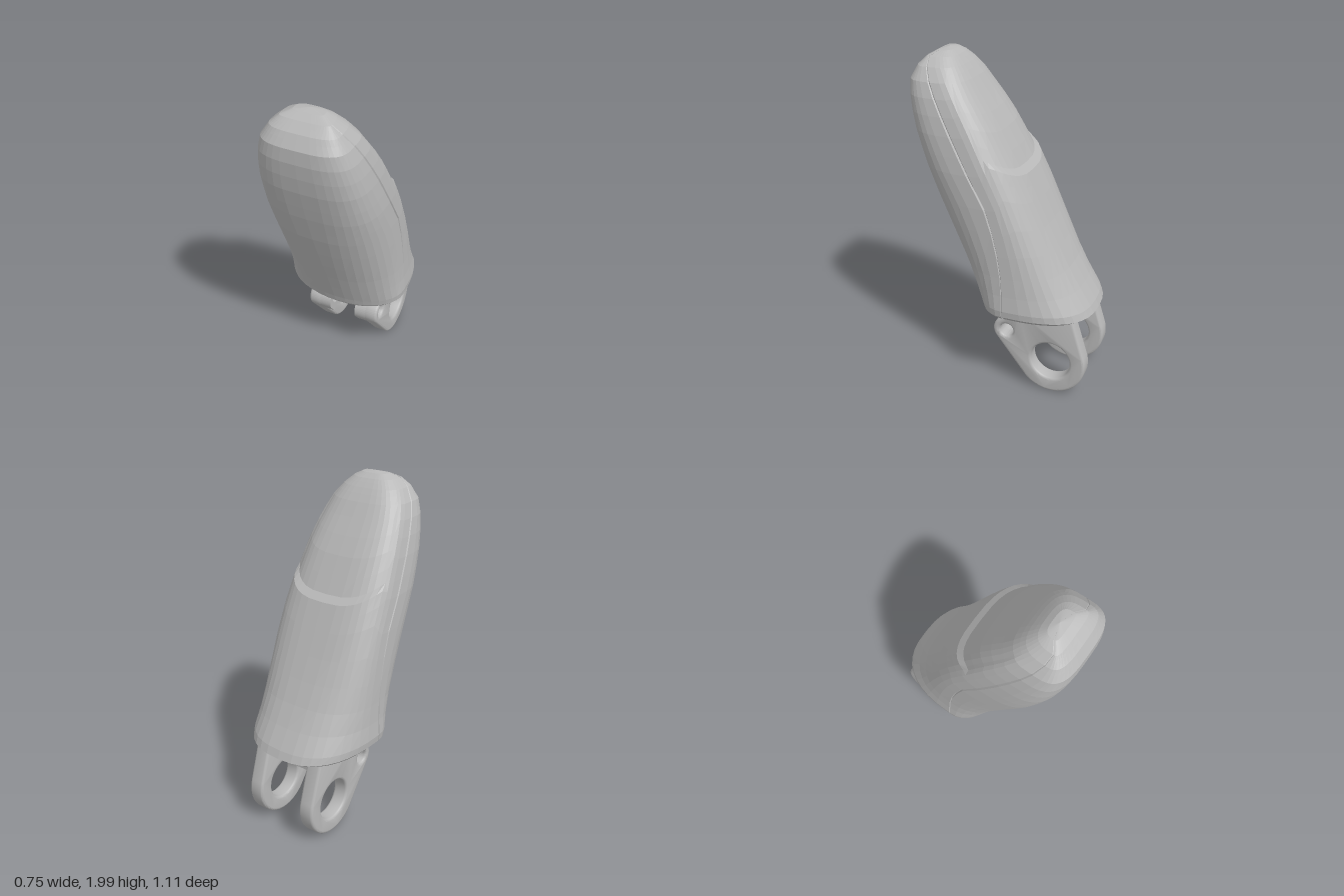
import * as THREE from 'three';
import { toCreasedNormals } from 'three/addons/utils/BufferGeometryUtils.js';

// Shell profile: height, half width, front z, seam z, back z
const PROFILE = [
  [0.50, 0.345, 0.105, -0.08, -0.52],
  [0.525, 0.368, 0.125, -0.08, -0.555],
  [0.57, 0.373, 0.14, -0.08, -0.535],
  [0.68, 0.365, 0.185, -0.077, -0.465],
  [0.80, 0.36, 0.235, -0.07, -0.395],
  [1.00, 0.355, 0.322, -0.04, -0.293],
  [1.20, 0.348, 0.402, 0.025, -0.20],
  [1.40, 0.335, 0.472, 0.14, -0.105],
  [1.60, 0.31, 0.53, 0.25, 0.008],
  [1.75, 0.28, 0.557, 0.335, 0.11],
  [1.85, 0.242, 0.555, 0.39, 0.187],
  [1.92, 0.192, 0.515, 0.425, 0.26],
  [1.965, 0.14, 0.465, 0.435, 0.305],
  [1.99, 0.085, 0.42, 0.4, 0.34],
];

function profileAt(y) {
  let i = 0;
  while (i < PROFILE.length - 2 && y > PROFILE[i + 1][0]) i++;
  const a = PROFILE[i], b = PROFILE[i + 1];
  const t = THREE.MathUtils.clamp((y - a[0]) / (b[0] - a[0]), 0, 1);
  return a.map((v, k) => v + (b[k] - v) * t);
}

// Angles around the shell; close pairs beside 0 and PI form the seam groove
function ringAngles() {
  const half = [0, 0.004], steps = 20;
  for (let i = 1; i < steps; i++) half.push(Math.PI * i / steps);
  half.push(Math.PI - 0.004);
  return [...half, ...half.map(a => a + Math.PI)];
}

function shellPoint(row, angle) {
  const { smoothstep } = THREE.MathUtils;
  const c = Math.cos(angle), s = Math.sin(angle), back = s < -1e-6;
  // Sections grow squarer towards the tip
  const tipward = smoothstep(row, 0.6, 1.7);
  const power = 2 / (back ? 2.6 + 0.6 * tipward : 2.2 + 1.1 * tipward);
  const q = Math.abs(c) ** power;
  let y = row;
  // Curve the rows of the back around the nail base
  if (back) {
    y += 0.12 * q ** 3 * (1 - smoothstep(q, 0.93, 1)) * Math.max(0, 1 - Math.abs(row - 1.37) / 0.5);
  }
  const [, w, front, seam, rear] = profileAt(y);
  // Arch the bottom rim up at the sides
  y += 0.025 * q * q * (1 - smoothstep(row, 0.5, 0.75));
  const groove = Math.abs(s) < 1e-6 ? 0.982 : 1;
  const x = Math.sign(c) * w * q * groove;
  let z = seam + ((back ? rear : front) - seam) * Math.abs(s) ** power;
  // Sunken nail
  if (back && row > 1.37) {
    z += 0.026 * (1 - smoothstep(q, 0.88, 0.98)) * (1 - smoothstep(row, 1.8, 1.94));
  }
  return [x, y, z];
}

function shellGeometry() {
  const rows = [0.5, 0.51, 0.525, 0.57, 0.68, 0.8, 0.93, 1.06, 1.2, 1.28, 1.345, 1.38,
    1.47, 1.58, 1.68, 1.77, 1.85, 1.89, 1.92, 1.945, 1.965, 1.99];
  const angles = ringAngles(), n = angles.length;
  const pos = [], index = [];
  for (const r of rows) for (const a of angles) pos.push(...shellPoint(r, a));
  for (let i = 0; i < rows.length - 1; i++) {
    for (let j = 0; j < n; j++) {
      const k = (j + 1) % n;
      const a = i * n + j, b = i * n + k, c = a + n, d = b + n;
      index.push(a, c, b, b, c, d);
    }
  }
  // Close base and tip
  const base = pos.length / 3, tip = base + 1, last = (rows.length - 1) * n;
  pos.push(0, 0.515, -0.2, 0, 2, 0.375);
  for (let j = 0; j < n; j++) {
    const k = (j + 1) % n;
    index.push(base, j, k, tip, last + k, last + j);
  }
  const geo = new THREE.BufferGeometry();
  geo.setAttribute('position', new THREE.Float32BufferAttribute(pos, 3));
  geo.setIndex(index);
  const flat = geo.toNonIndexed();
  flat.computeVertexNormals();
  return flat;
}

// Extrudes a side outline (drawn with -z to the right) across x
function sidePlate(shape, x0, x1, bevel) {
  const geo = new THREE.ExtrudeGeometry(shape, {
    depth: x1 - x0 - 2 * bevel, bevelEnabled: bevel > 0, bevelThickness: bevel,
    bevelSize: bevel, bevelOffset: -bevel, bevelSegments: 3, curveSegments: 28,
  });
  geo.rotateY(Math.PI / 2);
  geo.translate(x0 + bevel, 0, 0);
  return toCreasedNormals(geo, 0.6);
}

function addHole(shape, x, y, r) {
  const hole = new THREE.Path();
  hole.absarc(x, y, r, 0, Math.PI * 2, true);
  shape.holes.push(hole);
}

// Hinge plate with a large axle hole and a small pin hole
function lugShape() {
  const s = new THREE.Shape();
  s.absarc(0.055, 0.37, 0.085, 2.23, 3.8, false);
  s.absarc(0.335, 0.22, 0.215, 3.8, Math.PI * 2 + 0.33, false);
  s.lineTo(0.46, 0.54);
  s.lineTo(0.13, 0.54);
  s.closePath();
  addHole(s, 0.335, 0.22, 0.123);
  addHole(s, 0.055, 0.37, 0.043);
  return s;
}

// Thickened boss around the pin hole, rising into the shell
function bossShape() {
  const s = new THREE.Shape();
  s.absarc(0.055, 0.37, 0.085, 2.23, 3.8, false);
  s.lineTo(0.029, 0.267);
  s.lineTo(0.14, 0.31);
  s.lineTo(0.2, 0.44);
  s.lineTo(0.2, 0.53);
  s.lineTo(0.125, 0.53);
  s.closePath();
  addHole(s, 0.055, 0.37, 0.043);
  return s;
}

export function createModel() {
  const grey = new THREE.MeshStandardMaterial({ color: 0xb8b8b8 });
  grey.name = 'grey';
  const group = new THREE.Group();
  group.name = 'fingertip';
  const add = (name, geo) => {
    const mesh = new THREE.Mesh(geo, grey);
    mesh.name = name;
    group.add(mesh);
    return mesh;
  };

  add('fingertipShell', shellGeometry());

  // Pair of hinge lugs with their bosses
  for (const [side, x0, x1, b0, b1] of [
    ['left', 0.14, 0.235, 0.085, 0.16],
    ['right', -0.235, -0.14, -0.16, -0.085],
  ]) {
    add(side + 'HingeLug', sidePlate(lugShape(), x0, x1, 0.016));
    add(side + 'PinBoss', sidePlate(bossShape(), b0, b1, 0));
  }

  // Web joining the lugs under the shell
  const web = add('hingeWeb', new THREE.BoxGeometry(0.3, 0.08, 0.3));
  web.position.set(0, 0.475, -0.29);

  return group;
}
